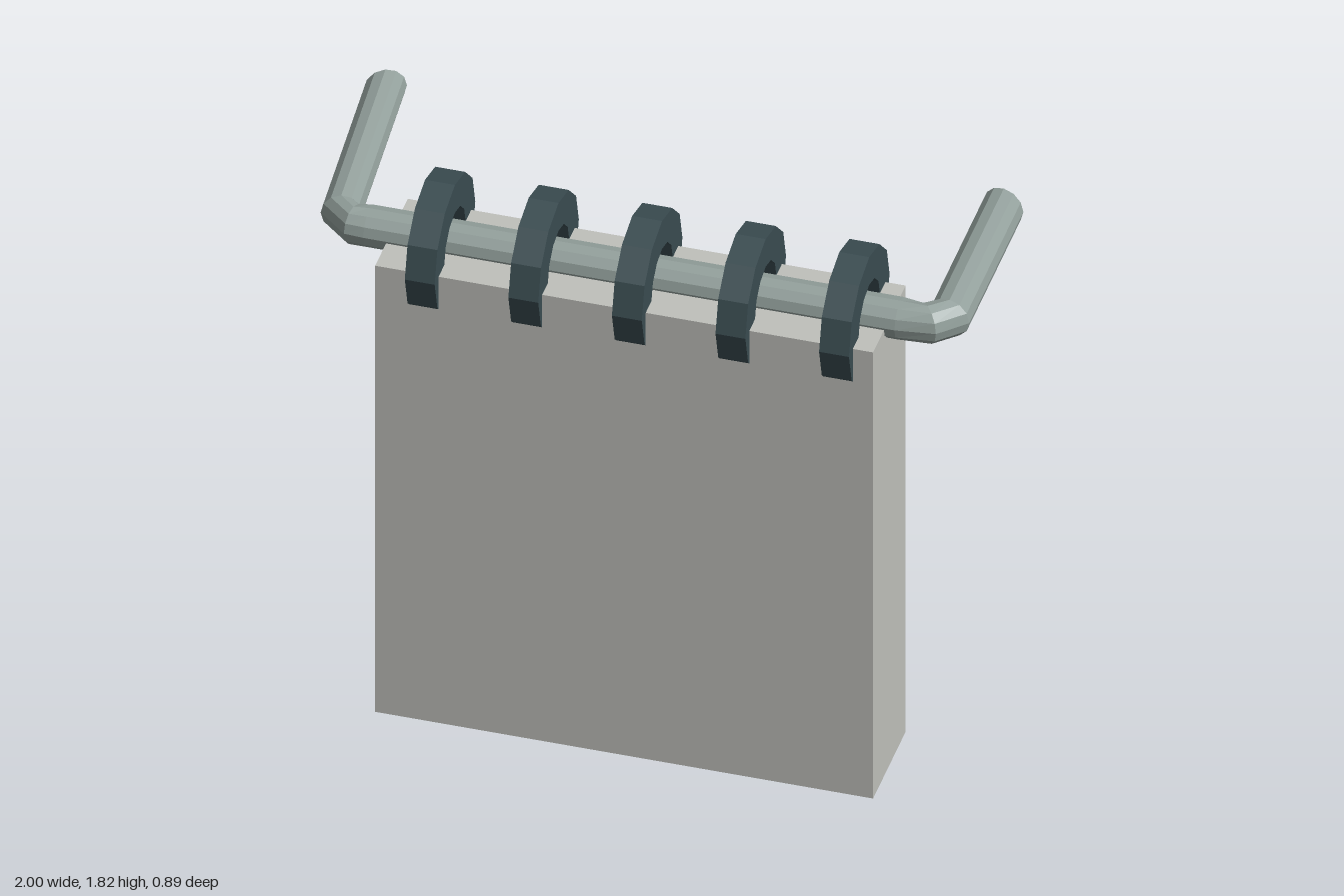
import * as THREE from 'three';

const PIPE_Y = 1.617;
const PIPE_RADIUS = 0.063;
const SIDES = 12;

// Pipe cross-sections along the path: inner and outer edge as [x, z]
const SECTIONS = [
  [[-0.885, -0.45], [-1.0, -0.4]],
  [[-0.837, 0.18], [-0.953, 0.21]],
  [[-0.832, 0.185], [-0.86, 0.29]],
  [[-0.8, 0.17], [-0.8, 0.294]],
  [[0.8, 0.17], [0.8, 0.294]],
  [[0.845, 0.19], [0.92, 0.278]],
  [[0.873, 0.175], [0.998, 0.2]],
  [[0.873, -0.385], [0.998, -0.36]],
];

// Loft of elliptical sections with flat end caps
function pipeGeometry() {
  const rings = SECTIONS.map(([a, b]) => {
    const ring = [];
    for (let i = 0; i < SIDES; i++) {
      const t = (i / SIDES) * Math.PI * 2;
      const k = (1 + Math.cos(t)) / 2;
      ring.push([
        a[0] + (b[0] - a[0]) * k,
        PIPE_Y + Math.sin(t) * PIPE_RADIUS,
        a[1] + (b[1] - a[1]) * k,
      ]);
    }
    return ring;
  });
  const pos = [];
  const tri = (a, b, c) => pos.push(...a, ...b, ...c);
  for (let s = 0; s < rings.length - 1; s++) {
    for (let i = 0; i < SIDES; i++) {
      const j = (i + 1) % SIDES;
      const [a, b, c, d] = [rings[s][i], rings[s + 1][i], rings[s + 1][j], rings[s][j]];
      tri(a, b, c);
      tri(a, c, d);
    }
  }
  const first = rings[0];
  const last = rings[rings.length - 1];
  for (let i = 1; i < SIDES - 1; i++) {
    tri(first[0], first[i], first[i + 1]);
    tri(last[0], last[i + 1], last[i]);
  }
  const geometry = new THREE.BufferGeometry();
  geometry.setAttribute('position', new THREE.Float32BufferAttribute(pos, 3));
  geometry.computeVertexNormals();
  return geometry;
}

// Twelve-sided hoop of rectangular section, its axis along x
function hoopGeometry(outer, inner, width) {
  const polygon = (r) => Array.from({ length: 12 }, (_, i) => {
    const t = (i / 12) * Math.PI * 2;
    return new THREE.Vector2(Math.cos(t) * r, Math.sin(t) * r);
  });
  const shape = new THREE.Shape(polygon(outer));
  shape.holes.push(new THREE.Path(polygon(inner).reverse()));
  const geometry = new THREE.ExtrudeGeometry(shape, { depth: width, bevelEnabled: false });
  geometry.translate(0, 0, -width / 2);
  geometry.rotateY(Math.PI / 2);
  return geometry;
}

export function createModel() {
  const model = new THREE.Group();
  const panelGrey = new THREE.MeshStandardMaterial({ color: 0xbfc0bb });
  panelGrey.name = 'panel grey';
  const pipeGrey = new THREE.MeshStandardMaterial({ color: 0x93a09c });
  pipeGrey.name = 'pipe grey';
  const darkSlate = new THREE.MeshStandardMaterial({ color: 0x3a4c51 });
  darkSlate.name = 'dark slate';

  const add = (name, geometry, material, x, y, z) => {
    const mesh = new THREE.Mesh(geometry, material);
    mesh.name = name;
    mesh.position.set(x, y, z);
    model.add(mesh);
  };

  // Hanging slab
  add('panel', new THREE.BoxGeometry(1.5, 1.61, 0.337), panelGrey, 0.018, 0.805, 0.236);

  // Bent support bar
  add('pipe', pipeGeometry(), pipeGrey, 0, 0, 0);

  // Hoops holding the slab on the bar
  const hoop = hoopGeometry(0.21, 0.11, 0.09);
  for (let i = -2; i <= 2; i++) {
    add(`hoop${i + 3}`, hoop, darkSlate, 0.038 + i * 0.312, 1.61, 0.235);
  }
  return model;
}
